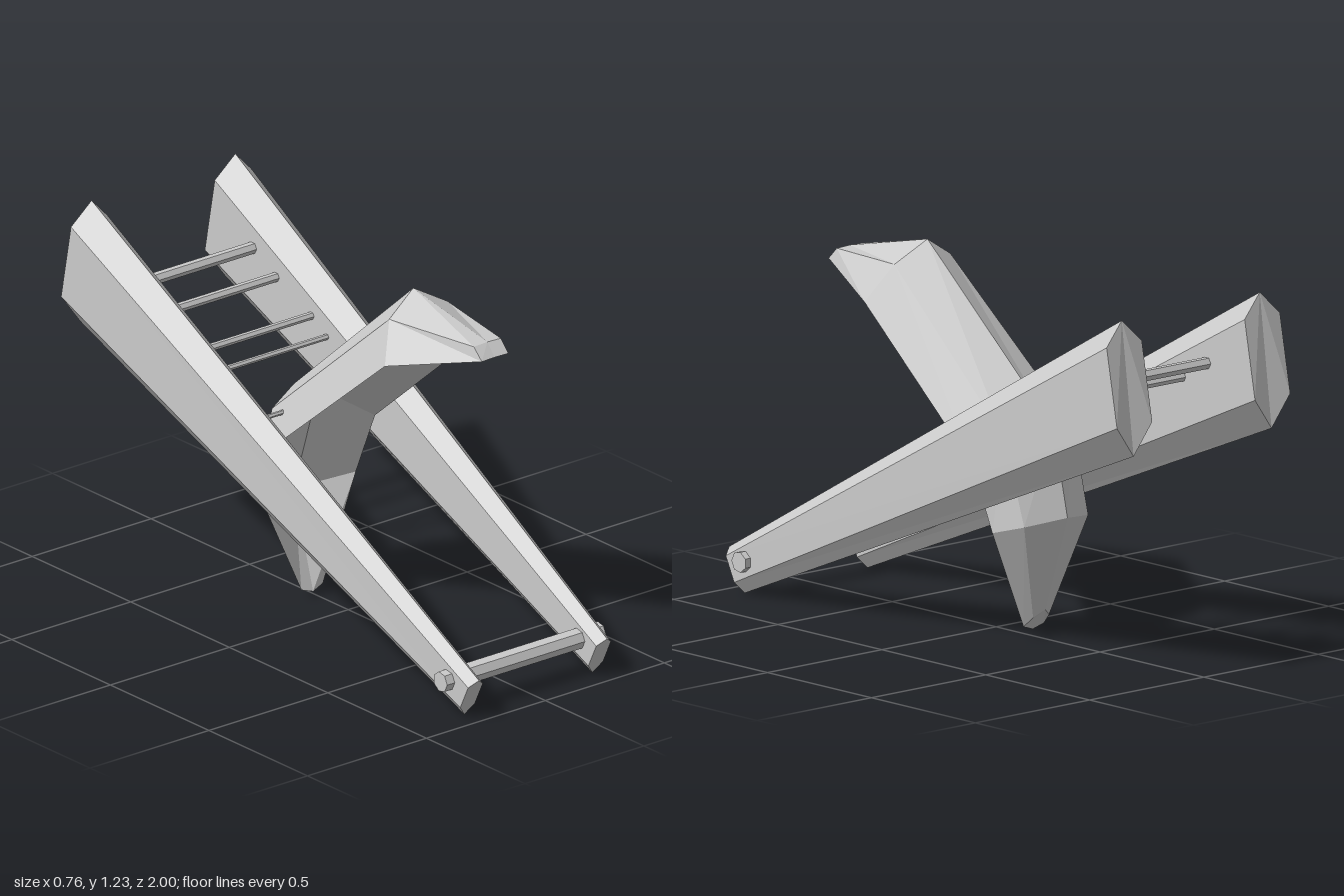
import * as THREE from 'three';

const material = new THREE.MeshStandardMaterial({ color: 0xcccccc, flatShading: true });

function addMesh(parent, name, geometry) {
  const mesh = new THREE.Mesh(geometry, material);
  mesh.name = name;
  parent.add(mesh);
  return mesh;
}

// Skin closed rings of [x, y, z], ordered clockwise seen from the front, from front to back.
function loft(rings) {
  const n = rings[0].length;
  const index = [];
  for (let i = 0; i < rings.length - 1; i++) {
    for (let j = 0; j < n; j++) {
      const k = (j + 1) % n;
      const a = i * n + j, b = i * n + k, c = b + n, d = a + n;
      index.push(a, b, c, a, c, d);
    }
  }
  const last = (rings.length - 1) * n;
  for (let j = 1; j < n - 1; j++) {
    index.push(0, j + 1, j, last, last + j, last + j + 1);
  }
  const geometry = new THREE.BufferGeometry();
  geometry.setAttribute('position', new THREE.Float32BufferAttribute(rings.flat(2), 3));
  geometry.setIndex(index);
  const flat = geometry.toNonIndexed();
  flat.computeVertexNormals();
  return flat;
}

// Body section: ridge, shoulders, edges and underside crease, each given as [y, z].
function bodyRing(cx, shoulderX, edgeX, ridge, shoulder, edge, crease) {
  return [
    [cx, ...ridge], [cx + shoulderX, ...shoulder], [cx + edgeX, ...edge],
    [cx, ...crease], [cx - edgeX, ...edge], [cx - shoulderX, ...shoulder],
  ];
}

// Six-sided rail section: top ridge, two upright sides and bottom ridge.
function railRing(cx, half, top, upper, lower, bottom) {
  return [
    [cx, ...top], [cx + half, ...upper], [cx + half, ...lower],
    [cx, ...bottom], [cx - half, ...lower], [cx - half, ...upper],
  ];
}

// Straight bar running across the model.
function crossBar(parent, name, x0, x1, y, z, radius, sides) {
  const bar = addMesh(parent, name, new THREE.CylinderGeometry(radius, radius, x1 - x0, sides));
  bar.rotation.z = Math.PI / 2;
  bar.position.set((x0 + x1) / 2, y, z);
}

export function createModel() {
  const group = new THREE.Group();

  // Tapered side rails, narrow and low at the front, deep and high at the back
  const rails = [
    { name: 'leftRail', front: 0.268, back: 0.303, z: 0 },
    { name: 'rightRail', front: -0.277, back: -0.308, z: 0.008 },
  ];
  for (const { name, front, back, z } of rails) {
    addMesh(group, name, loft([
      railRing(front, 0.031, [0.145, 0.99 + z], [0.122, 0.972 + z], [0.04, 0.932 + z], [0.003, 0.915 + z]),
      railRing(back, 0.077, [1.222, -0.938 + z], [1.145, -0.95 + z], [0.885, -1 + z], [0.78, -0.995 + z]),
    ]));
  }

  // Bent central body: snout, head, long back, hip and pointed tail
  addMesh(group, 'body', loft([
    bodyRing(0.013, 0.057, 0.056, [1.157, 0.69], [1.155, 0.69], [1.115, 0.73], [1.115, 0.727]),
    bodyRing(0, 0.122, 0.194, [1.235, 0.33], [1.165, 0.355], [1.04, 0.42], [1.11, 0.355]),
    bodyRing(-0.005, 0.15, 0.217, [0.71, -0.27], [0.685, -0.2], [0.59, -0.12], [0.735, -0.145]),
    bodyRing(-0.005, 0.14, 0.197, [0.42, -0.338], [0.4, -0.284], [0.375, -0.193], [0.345, -0.27]),
    bodyRing(-0.015, 0.035, 0.045, [0.095, -0.22], [0.07, -0.2], [0.035, -0.165], [0.02, -0.16]),
  ]));

  // Rungs between the rails, thinning toward the body; the last two pass through it
  const rungs = [
    [0.97, -0.758, 0.02], [0.905, -0.64, 0.016], [0.826, -0.462, 0.013],
    [0.776, -0.385, 0.01], [0.7, -0.126, 0.008], [0.58, -0.205, 0.008],
  ];
  rungs.forEach(([y, z, radius], i) => {
    crossBar(group, `rung${i + 1}`, -0.245, 0.245, y, z, radius, 6);
  });

  // Axle through the front of both rails
  crossBar(group, 'axle', -0.342, 0.326, 0.12, 0.88, 0.035, 7);

  return group;
}
